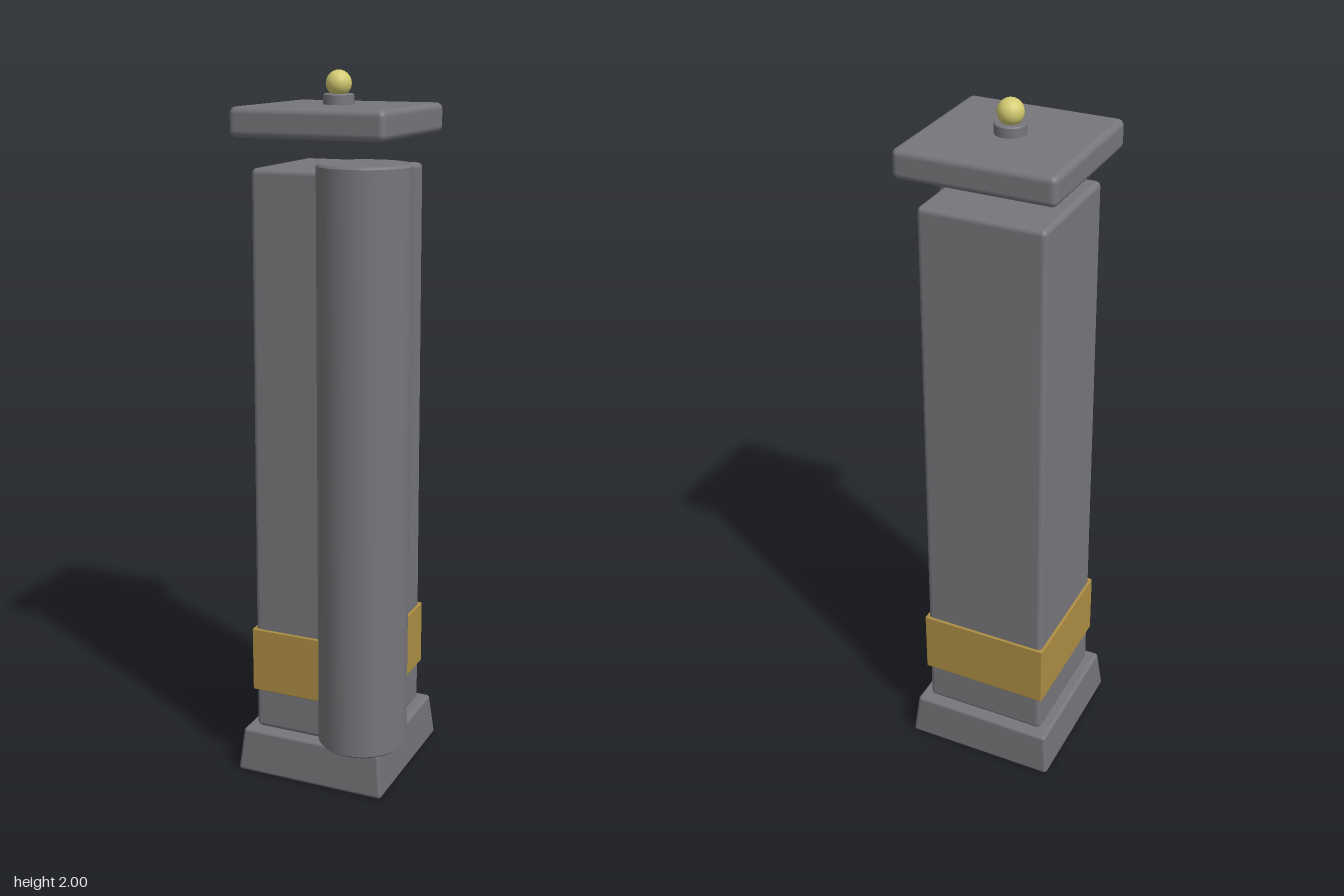
import * as THREE from 'three';
import { toCreasedNormals } from 'three/addons/utils/BufferGeometryUtils.js';
import { RoundedBoxGeometry } from 'three/addons/geometries/RoundedBoxGeometry.js';

const CENTRE = -0.017; // the square column's axis, in both x and z

export function createModel() {
  const group = new THREE.Group();
  const stone = new THREE.MeshStandardMaterial({ color: 0x77767b });
  stone.name = 'grey stone';
  const gold = new THREE.MeshStandardMaterial({ color: 0xac8d43 });
  gold.name = 'gold band';
  const yellow = new THREE.MeshStandardMaterial({ color: 0xd2ca70 });
  yellow.name = 'pale yellow';

  function add(name, geometry, material, x = CENTRE, z = CENTRE) {
    const mesh = new THREE.Mesh(geometry, material);
    mesh.name = name;
    mesh.position.set(x, 0, z);
    group.add(mesh);
  }

  // Rounded square block from y0 to y1, tapering between two half widths
  function block(y0, y1, half0, half1, bevel) {
    const h = y1 - y0;
    const g = new RoundedBoxGeometry(2 * half0, h, 2 * half0, 3, bevel);
    const p = g.attributes.position;
    for (let i = 0; i < p.count; i++) {
      const s = THREE.MathUtils.lerp(1, half1 / half0, p.getY(i) / h + 0.5);
      p.setX(i, p.getX(i) * s);
      p.setZ(i, p.getZ(i) * s);
    }
    return g.translate(0, (y0 + y1) / 2, 0);
  }

  // Upright round post with chamfered rims
  function post(y0, y1, r, c, sides) {
    const profile = [[0, y0], [r - c, y0], [r, y0 + c], [r, y1 - c], [r - c, y1], [0, y1]]
      .map(([x, y]) => new THREE.Vector2(x, y));
    return toCreasedNormals(new THREE.LatheGeometry(profile, sides), 0.6);
  }

  // Square column
  add('base', block(0, 0.13, 0.226, 0.212, 0.01), stone);
  add('shaft', block(0.13, 1.75, 0.184, 0.178, 0.015), stone);
  add('band', block(0.25, 0.44, 0.19, 0.19, 0.003), gold);

  // Round column engaged in the front left corner
  add('cornerColumn', post(0.13, 1.77, 0.127, 0.006, 32), stone, 0.113, 0.113);

  // Floating cap with its finial
  add('cap', block(1.83, 1.91, 0.22, 0.22, 0.018), stone);
  add('finialStem', post(1.905, 1.938, 0.042, 0.003, 24), stone);
  add('finialBall', new THREE.SphereGeometry(0.035, 20, 14).translate(0, 1.965, 0), yellow);

  return group;
}
